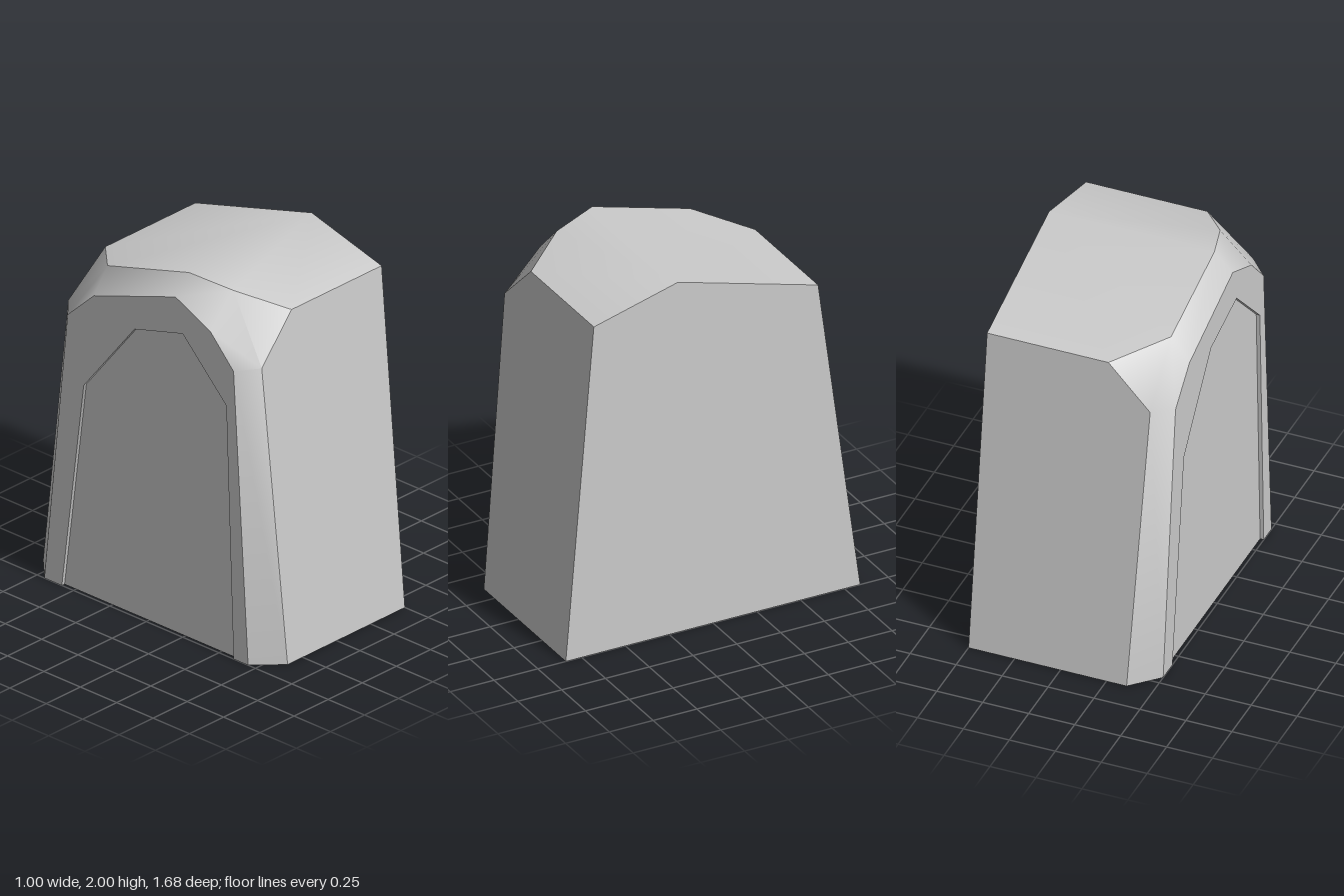
import * as THREE from 'three';
import { toCreasedNormals } from 'three/addons/utils/BufferGeometryUtils.js';

const V = (x, y, z) => new THREE.Vector3(x, y, z);
const CENTRE = V(0, 0.9, 0);

// Collects polygons into one mesh; each polygon is turned to face "dir" (default: outward).
function faceBuilder() {
  const positions = [];
  const tri = (a, b, c, dir) => {
    const n = b.clone().sub(a).cross(c.clone().sub(a));
    const out = dir || a.clone().add(b).add(c).divideScalar(3).sub(CENTRE);
    for (const p of n.dot(out) < 0 ? [a, c, b] : [a, b, c]) positions.push(p.x, p.y, p.z);
  };
  return {
    fan(points, dir) {
      for (let i = 1; i < points.length - 1; i++) tri(points[0], points[i], points[i + 1], dir);
    },
    // Flat outline with optional holes, placed in space by the map function
    flat(outline, holes, map, dir) {
      const shape = new THREE.Shape(outline.map(p => new THREE.Vector2(...p)));
      shape.holes = holes.map(h => new THREE.Path(h.map(p => new THREE.Vector2(...p))));
      const g = new THREE.ShapeGeometry(shape), pos = g.attributes.position, ix = g.index.array;
      const at = i => map(pos.getX(i), pos.getY(i));
      for (let i = 0; i < ix.length; i += 3) tri(at(ix[i]), at(ix[i + 1]), at(ix[i + 2]), dir);
    },
    mesh(name) {
      const g = new THREE.BufferGeometry();
      g.setAttribute('position', new THREE.Float32BufferAttribute(positions, 3));
      const m = new THREE.Mesh(toCreasedNormals(g, 0.6), new THREE.MeshStandardMaterial({ color: 0xcccccc }));
      m.name = name;
      return m;
    },
  };
}

export function createModel() {
  const group = new THREE.Group();
  const END = -0.5, PANEL = -0.48;

  // Arch outlines as [z, y], running from back to front
  const rim = [[-0.7, 0], [-0.54, 1.54], [-0.36, 1.71], [0.2, 1.9], [0.44, 1.79], [0.6, 1.62], [0.7, 0]];
  const inner = [[-0.58, 0], [-0.43, 1.18], [-0.08, 1.62], [0.25, 1.71], [0.55, 1.41], [0.6, 0]];
  const side = [[-0.84, 0], [-0.6, 1.775], [0.2, 2], [0.68, 1.87], [0.84, 0]];

  // Where the bevel meets the main body, back to front
  const bevel = [
    V(-0.36, 0, -0.84), V(-0.4, 1.553, -0.63), V(-0.4, 1.8425, -0.36), V(-0.4, 2, 0.2),
    V(-0.33, 1.957, 0.44), V(-0.4, 1.635, 0.7), V(-0.36, 0, 0.84),
  ];
  const backCorner = V(-0.16, 1.775, -0.6), frontCorner = V(-0.16, 1.87, 0.68);
  const flank = side.map(([z, y]) => V(0.5, y, z));
  const end = rim.map(([z, y]) => V(END, y, z));

  // Main shell
  const body = faceBuilder();
  body.fan(flank, V(1, 0, 0));
  body.fan([bevel[0], bevel[1], backCorner, flank[1], flank[0]]);
  body.fan([flank[2], bevel[3], bevel[2], backCorner, flank[1]], V(0, 1, 0));
  body.fan([flank[2], bevel[3], bevel[4], frontCorner, flank[3]], V(0, 1, 0));
  body.fan([bevel[6], bevel[5], frontCorner, flank[3], flank[4]]);
  // Corner facets and bevel strip
  body.fan([bevel[1], backCorner, bevel[2]]);
  body.fan([bevel[5], frontCorner, bevel[4]]);
  for (let i = 0; i < 6; i++) body.fan([end[i], bevel[i], bevel[i + 1], end[i + 1]]);
  // Raised rim around the recess
  body.flat([...rim, ...[...inner].reverse()], [], (z, y) => V(END, y, z), V(-1, 0, 0));
  // Underside, notched by the recess and pierced by the slot
  const slot = [[-0.135, -0.585], [-0.085, -0.585], [-0.085, 0.585], [-0.135, 0.585]];
  body.flat([
    [0.5, -0.84], [0.5, 0.84], [-0.36, 0.84], [END, 0.7], [END, 0.6],
    [PANEL, 0.6], [PANEL, -0.58], [END, -0.58], [END, -0.7], [-0.36, -0.84],
  ], [slot], (x, z) => V(x, 0, z), V(0, -1, 0));
  group.add(body.mesh('body'));

  // Recessed end panel with its shallow walls
  const recess = faceBuilder();
  recess.flat(inner, [], (z, y) => V(PANEL, y, z), V(-1, 0, 0));
  for (let i = 0; i < inner.length - 1; i++) {
    const [[z0, y0], [z1, y1]] = [inner[i], inner[i + 1]];
    recess.fan([V(END, y0, z0), V(PANEL, y0, z0), V(PANEL, y1, z1), V(END, y1, z1)],
      V(0, 0.8 - (y0 + y1) / 2, -(z0 + z1) / 2));
  }
  group.add(recess.mesh('recessedPanel'));

  // Narrow slot in the underside
  const cavity = faceBuilder(), DEPTH = 0.3;
  slot.forEach(([x0, z0], i) => {
    const [x1, z1] = slot[(i + 1) % 4];
    cavity.fan([V(x0, 0, z0), V(x1, 0, z1), V(x1, DEPTH, z1), V(x0, DEPTH, z0)],
      V(-0.11 - (x0 + x1) / 2, 0, -(z0 + z1) / 2));
  });
  cavity.fan(slot.map(([x, z]) => V(x, DEPTH, z)), V(0, -1, 0));
  group.add(cavity.mesh('bottomSlot'));

  return group;
}
